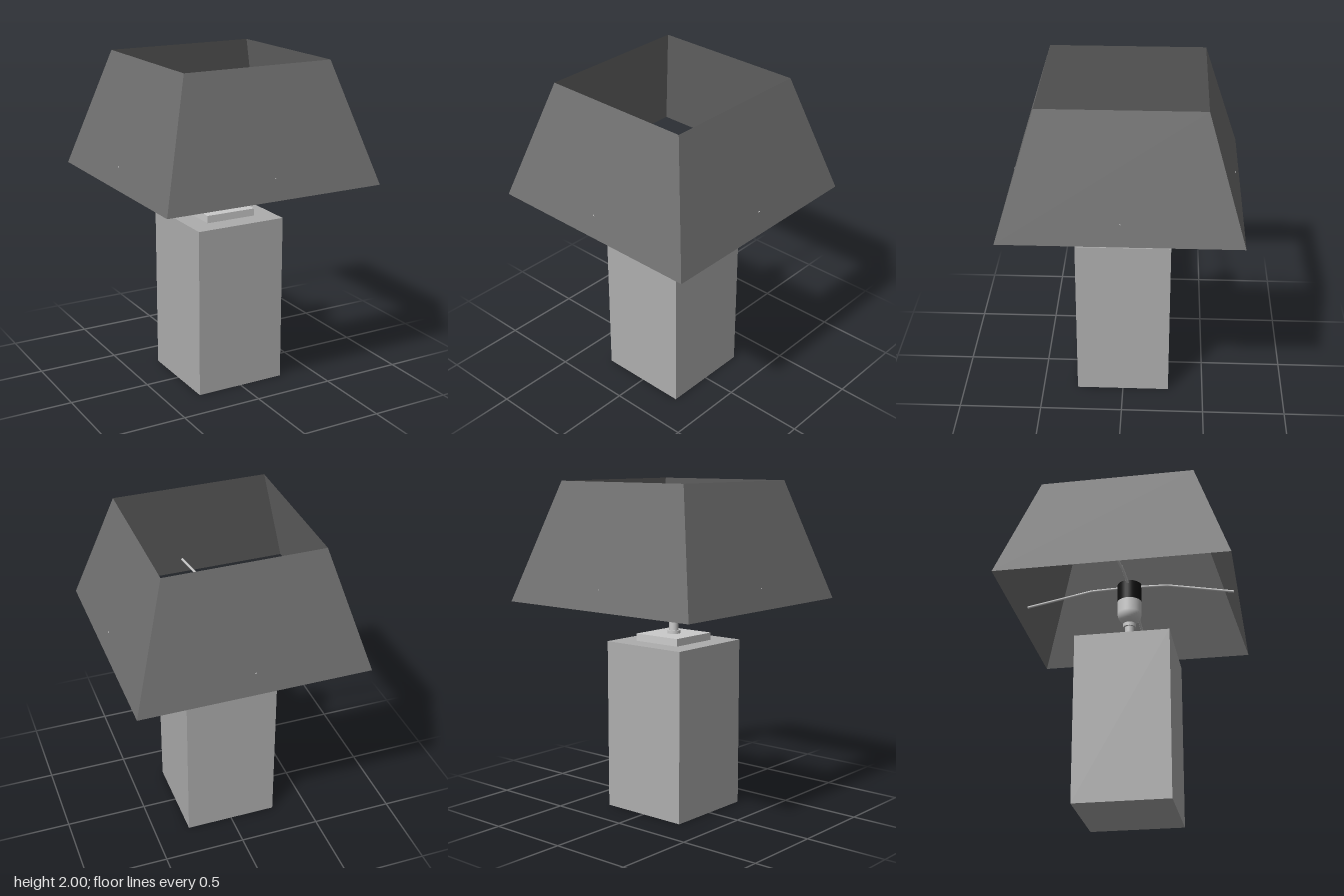
import * as THREE from 'three';

const mat = (color, opts = {}) => new THREE.MeshStandardMaterial({ color, ...opts });

export function createModel() {
  const lamp = new THREE.Group();
  lamp.name = 'tableLamp';

  const light = mat(0xcccccc);
  const stone = mat(0xaeaeae);
  const fabric = mat(0x707070, { flatShading: true, side: THREE.DoubleSide });
  const black = mat(0x111111);

  const add = (name, geometry, material) => {
    const mesh = new THREE.Mesh(geometry, material);
    mesh.name = name;
    lamp.add(mesh);
    return mesh;
  };
  // Square block resting on y0
  const block = (name, size, y0, y1, material) =>
    add(name, new THREE.BoxGeometry(size, y1 - y0, size).translate(0, (y0 + y1) / 2, 0), material);
  // Upright cylinder between two heights
  const rod = (name, r, y0, y1, material) =>
    add(name, new THREE.CylinderGeometry(r, r, y1 - y0, 32).translate(0, (y0 + y1) / 2, 0), material);

  // Square body and top plate
  block('base', 0.57, 0, 1.035, stone);
  block('topPlate', 0.32, 1.035, 1.08, light);

  // Neck with a collar at each end
  rod('lowerCollar', 0.04, 1.08, 1.1, light);
  rod('stem', 0.028, 1.1, 1.205, light);
  rod('upperCollar', 0.04, 1.205, 1.228, light);

  // Bulb holder: rounded underside running into a straight wall
  const profile = [];
  for (let i = 0; i <= 12; i++) {
    const a = (i / 12) * Math.PI / 2;
    profile.push(new THREE.Vector2(0.075 * Math.sin(a), 1.3 - 0.075 * Math.cos(a)));
  }
  profile.push(new THREE.Vector2(0.075, 1.38));
  add('bulb', new THREE.LatheGeometry(profile, 32), light);
  rod('cap', 0.075, 1.38, 1.5, black);

  // Four bent arms from the cap out to the shade
  const path = new THREE.CurvePath();
  const points = [[0.07, 1.485], [0.24, 1.48], [0.655, 1.4]].map(([x, y]) => new THREE.Vector3(x, y, 0));
  path.add(new THREE.LineCurve3(points[0], points[1]));
  path.add(new THREE.LineCurve3(points[1], points[2]));
  const arm = new THREE.TubeGeometry(path, 24, 0.008, 8);
  for (let i = 0; i < 4; i++) add('shadeArm', arm, light).rotation.y = i * Math.PI / 2;

  // Open four-sided tapered shade
  const shade = new THREE.CylinderGeometry(0.47 * Math.SQRT2, 0.69 * Math.SQRT2, 0.715, 4, 1, true);
  shade.rotateY(Math.PI / 4).translate(0, 1.6425, 0);
  add('shade', shade, fabric);

  return lamp;
}
